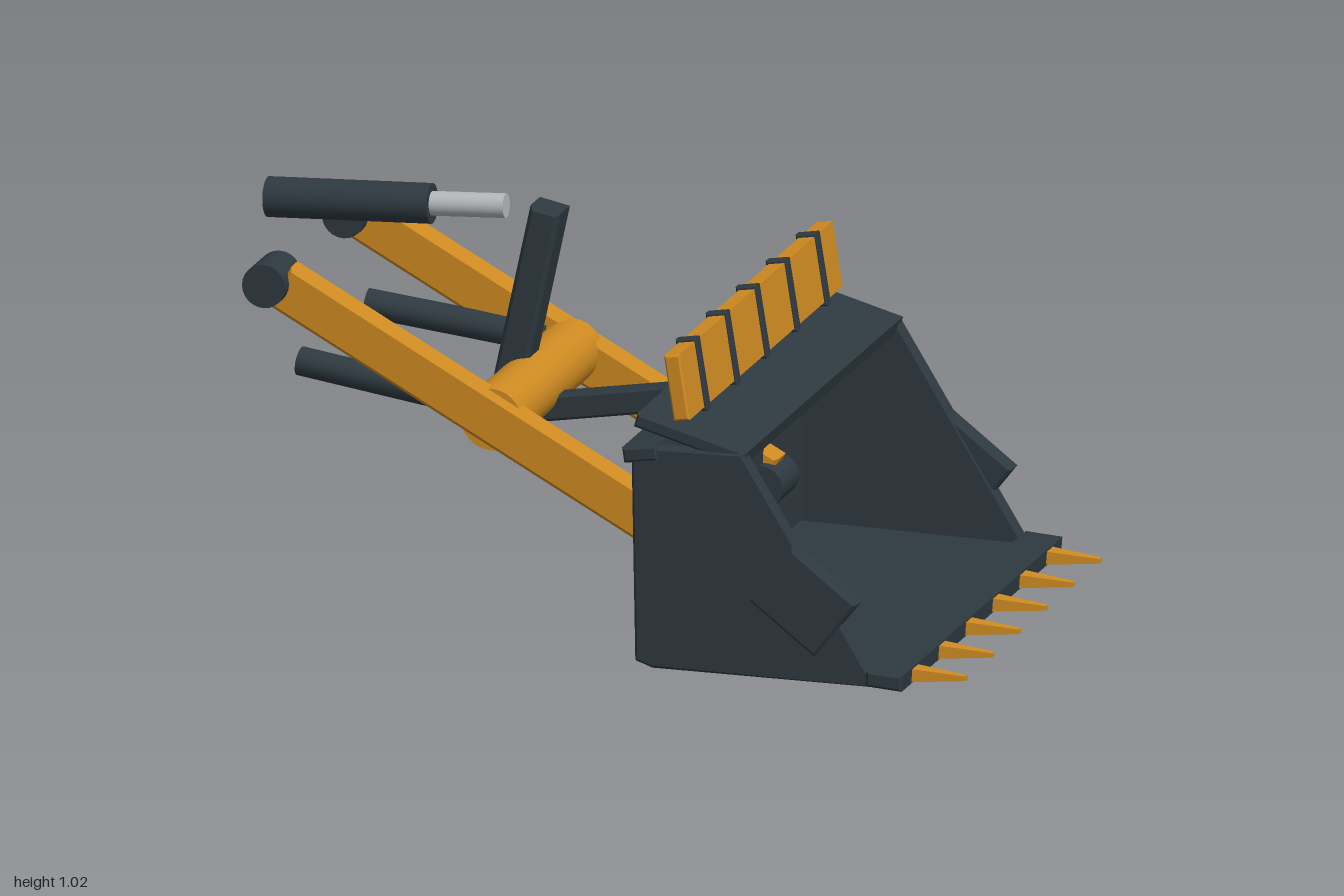
import * as THREE from 'three';

const mat = (name, color) => Object.assign(new THREE.MeshStandardMaterial({ color }), { name });

export function createModel() {
  const model = new THREE.Group();
  model.name = 'loaderBucketAndArms';
  const steel = mat('dark steel', 0x2e3940);
  const paint = mat('amber paint', 0xcf8b22);
  const chrome = mat('chrome', 0xb4b8bb);

  const add = (name, geometry, material, parent = model) => {
    const mesh = new THREE.Mesh(geometry, material);
    mesh.name = name;
    parent.add(mesh);
    return mesh;
  };

  // Side profile in x/y, extruded along z about its centre, with a small chamfer
  const plate = (name, points, depth, z, material, bevel = 0.007) => {
    const shape = new THREE.Shape(points.map(([x, y]) => new THREE.Vector2(x, y)));
    const geo = new THREE.ExtrudeGeometry(shape, {
      depth: depth - 2 * bevel, bevelEnabled: true, bevelSegments: 1,
      bevelSize: bevel, bevelOffset: -bevel, bevelThickness: bevel,
    });
    geo.translate(0, 0, bevel - depth / 2);
    const mesh = add(name, geo, material);
    mesh.position.z = z;
    return mesh;
  };

  // Chamfered bar running from p to q in the x/y plane
  const beam = (name, p, q, height, depth, z, material, bevel) => {
    const dx = q[0] - p[0], dy = q[1] - p[1];
    const l = Math.hypot(dx, dy) / 2, h = height / 2;
    const mesh = plate(name, [[-l, -h], [l, -h], [l, h], [-l, h]], depth, z, material, bevel);
    mesh.position.set((p[0] + q[0]) / 2, (p[1] + q[1]) / 2, z);
    mesh.rotation.z = Math.atan2(dy, dx);
    return mesh;
  };

  // Round rod between two points
  const rod = (name, p, q, radius, material) => {
    const a = new THREE.Vector3(...p), b = new THREE.Vector3(...q);
    const mesh = add(name, new THREE.CylinderGeometry(radius, radius, a.distanceTo(b), 24), material);
    mesh.position.copy(a).add(b).multiplyScalar(0.5);
    mesh.quaternion.setFromUnitVectors(new THREE.Vector3(0, 1, 0), b.sub(a).normalize());
    return mesh;
  };

  // Bucket shell
  plate('bucketBack', [[0.165, 0.03], [0.2, 0.02], [0.2, 0.57], [0.155, 0.57]], 1.3, 0, steel);
  plate('bucketFloor', [[0.17, 0.028], [0.21, 0.012], [0.85, 0.008], [0.85, 0.035], [0.18, 0.05]], 1.3, 0, steel);
  beam('backTopRail', [0.135, 0.56], [0.225, 0.573], 0.04, 1.36, 0, steel);
  beam('cuttingEdge', [0.77, 0.035], [0.865, 0.028], 0.042, 1.37, 0, steel);
  beam('spillPlate', [0.165, 0.652], [0.45, 0.571], 0.038, 1.34, 0, steel);

  // Guard board with straps above the spill plate
  beam('guardBoard', [0.281, 0.655], [0.255, 0.823], 0.042, 1.31, 0, paint, 0.005);
  for (let i = -2; i <= 2; i++)
    beam('guardStrap', [0.283, 0.645], [0.253, 0.831], 0.056, 0.032, i * 0.255, steel, 0.004);

  // Teeth: square bars tapering to the tip
  for (let i = 0; i < 6; i++) {
    const geo = new THREE.BoxGeometry(0.16, 0.038, 0.056);
    const pos = geo.attributes.position;
    for (let v = 0; v < pos.count; v++)
      if (pos.getX(v) > 0) {
        pos.setY(v, pos.getY(v) * 0.3 - 0.002);
        pos.setZ(v, pos.getZ(v) * 0.3);
      }
    geo.computeVertexNormals();
    add('tooth', geo, paint).position.set(0.92, 0.028, (i - 2.5) * 0.229);
  }

  for (const s of [-1, 1]) {
    // Bucket cheeks and side wear plates
    plate('bucketCheek', [[0.165, 0.03], [0.21, 0.014], [0.83, 0.01], [0.77, 0.055], [0.445, 0.588], [0.155, 0.585]],
      0.045, s * 0.6525, steel);
    beam('sideWearPlate', [0.522, 0.285], [0.692, 0.152], 0.18, 0.057, s * 0.6615, steel);

    // Lift arm with its end pins
    beam('liftArm', [-0.855, 0.835], [0.212, 0.245], 0.12, 0.072, s * 0.338, paint, 0.01);
    rod('rearPivot', [-0.885, 0.843, s * 0.27], [-0.885, 0.843, s * 0.41], 0.056, steel);
    rod('bucketPivot', [0.205, 0.23, s * 0.27], [0.205, 0.23, s * 0.41], 0.056, steel);

    // Lift cylinder, angled outward to the arm
    rod('liftCylinder', [-0.828, 0.622, s * 0.283], [-0.37, 0.56, s * 0.311], 0.037, steel);
  }

  // Cross tube, bell crank and bucket link
  rod('crossTube', [-0.31, 0.528, -0.345], [-0.31, 0.528, 0.345], 0.08, paint);
  beam('bellCrank', [-0.378, 0.453], [-0.262, 0.995], 0.08, 0.1, 0, steel, 0.01);
  beam('bucketLink', [-0.38, 0.457], [0.222, 0.553], 0.066, 0.062, 0, steel);

  // Tilt cylinder
  rod('tiltBarrel', [-0.998, 0.958, 0], [-0.57, 0.975, 0], 0.051, steel);
  rod('tiltPistonRod', [-0.6, 0.974, 0], [-0.377, 0.985, 0], 0.031, chrome);

  return model;
}
